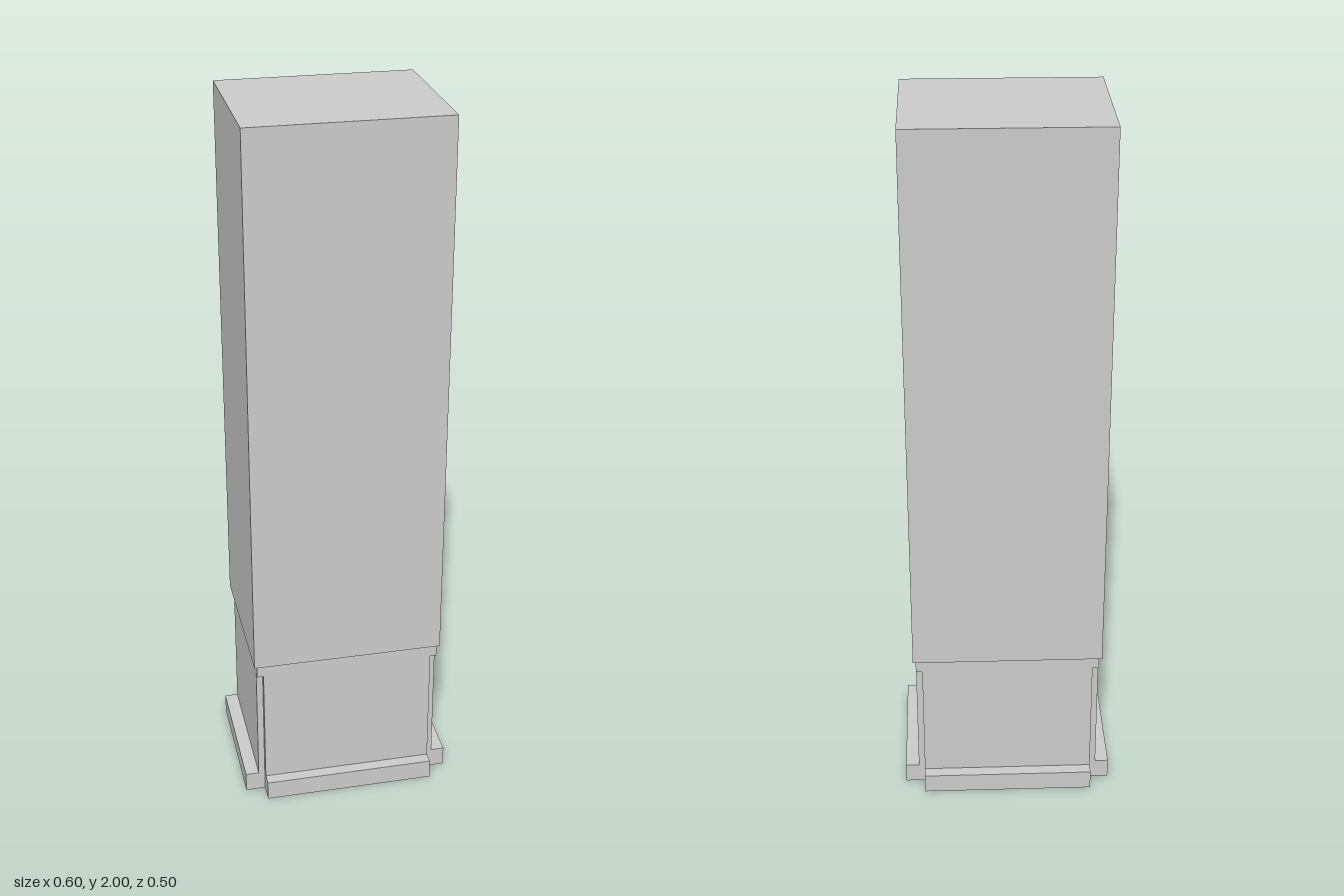
import * as THREE from 'three';

const material = new THREE.MeshStandardMaterial({ color: 0xcccccc, flatShading: true });

export function createModel() {
  const group = new THREE.Group();
  const add = (name, geometry) => {
    const mesh = new THREE.Mesh(geometry, material);
    mesh.name = name;
    group.add(mesh);
  };
  // Box given by its lower and upper limits
  const box = (name, x0, x1, y0, y1, z0, z1) =>
    add(name, new THREE.BoxGeometry(x1 - x0, y1 - y0, z1 - z0)
      .translate((x0 + x1) / 2, (y0 + y1) / 2, (z0 + z1) / 2));
  const rect = (target, x0, x1, y0, y1) => {
    target.moveTo(x0, y0);
    target.lineTo(x1, y0);
    target.lineTo(x1, y1);
    target.lineTo(x0, y1);
    target.closePath();
    return target;
  };

  // Cross-shaped outline: square corners are notched out
  const cross = (ax, az, bx, bz) => new THREE.Shape([
    [ax, -bz], [ax, bz], [bx, bz], [bx, az], [-bx, az], [-bx, bz],
    [-ax, bz], [-ax, -bz], [-bx, -bz], [-bx, -az], [bx, -az], [bx, -bz],
  ].map(([x, z]) => new THREE.Vector2(x, z)));
  const layer = (name, shape, y0, y1) =>
    add(name, new THREE.ExtrudeGeometry(shape, { depth: y1 - y0, bevelEnabled: false })
      .rotateX(-Math.PI / 2).translate(0, y0, 0));

  // Base: projecting plinth with a recess below, then notched panels
  const recessTop = 0.1, plinthTop = 0.057;
  const plinth = cross(0.3, 0.251, 0.244, 0.199);
  plinth.holes.push(rect(new THREE.Path(), -0.19, 0.19, -0.145, 0.145));
  layer('plinth', plinth, 0, plinthTop);
  const lowerPanels = cross(0.262, 0.217, 0.244, 0.199);
  lowerPanels.holes.push(rect(new THREE.Path(), -0.19, 0.19, -0.145, 0.145));
  layer('lowerPanels', lowerPanels, plinthTop, recessTop);
  layer('basePanels', cross(0.262, 0.217, 0.244, 0.199), recessTop, 0.41);
  box('baseCollar', -0.262, 0.262, 0.41, 0.445, -0.22, 0.217);

  // Tower: four walls around two hollow storeys
  const X = 0.27, back = -0.226, front = 0.222, wall = 0.05, bottom = 0.445, top = 2;
  box('frontWall', -X, X, bottom, top, front - wall, front);
  box('backWall', -X, X, bottom, top, back, back + wall);
  box('leftWall', -X, -X + wall, bottom, top, back + wall, front - wall);

  // Wall with two window openings, drawn in (-z, y) and extruded along x
  const windowWall = rect(new THREE.Shape(), -front + wall, -back - wall, bottom, top);
  for (const [y0, y1] of [[0.455, 0.905], [1.19, 1.65]])
    windowWall.holes.push(rect(new THREE.Path(), -0.11, 0.11, y0, y1));
  add('windowWall', new THREE.ExtrudeGeometry(windowWall, { depth: wall, bevelEnabled: false })
    .rotateY(Math.PI / 2).translate(X - wall, 0, 0));

  // Floors and roof
  for (const [name, y0, y1] of [['lowerFloor', bottom, 0.453], ['upperFloor', 1.14, 1.188], ['roof', 1.95, top]])
    box(name, -X + wall, X - wall, y0, y1, back + wall, front - wall);

  return group;
}
